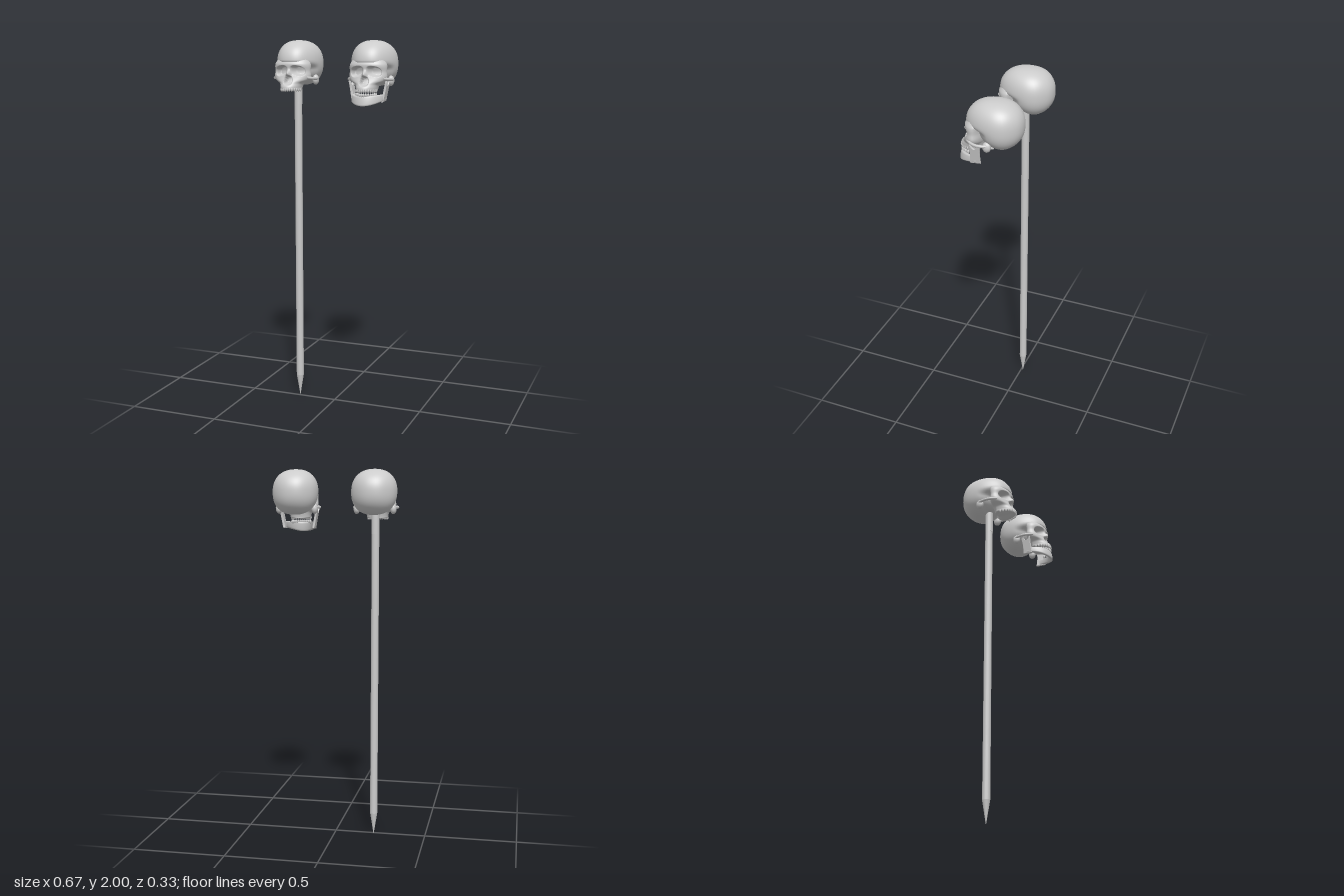
import * as THREE from 'three';

const bone = new THREE.MeshStandardMaterial({ color: 0xcccccc, side: THREE.DoubleSide });
const { smoothstep, lerp } = THREE.MathUtils;

function add(group, geometry, name, x = 0, y = 0, z = 0) {
  const mesh = new THREE.Mesh(geometry, bone);
  mesh.name = name;
  mesh.position.set(x, y, z);
  group.add(mesh);
  return mesh;
}

// Skin a list of closed rings; each ring is an array of Vector3
function loft(rings) {
  const n = rings[0].length, index = [];
  for (let i = 0; i < rings.length - 1; i++) {
    for (let j = 0; j < n; j++) {
      const k = (j + 1) % n, a = i * n, b = a + n;
      index.push(a + j, b + j, b + k, a + j, b + k, a + k);
    }
  }
  const g = new THREE.BufferGeometry().setFromPoints(rings.flat());
  g.setIndex(index);
  g.computeVertexNormals();
  return g;
}

// Braincase: a squared-off sphere, narrowed at the temples and cut back behind the face
function craniumGeometry() {
  const g = new THREE.SphereGeometry(1, 56, 40);
  const p = g.attributes.position, e = 2.3;
  for (let i = 0; i < p.count; i++) {
    let x = p.getX(i), y = p.getY(i), z = p.getZ(i);
    const r = (Math.abs(x) ** e + Math.abs(y) ** e + Math.abs(z) ** e) ** (-1 / e);
    x *= r; y *= r; z *= r;
    const front = smoothstep(z, -0.35, 1), low = smoothstep(-y, -0.1, 0.3);
    const px = x * 0.123 * (1 - 0.17 * front - 0.12 * front * low) * (1 - 0.1 * smoothstep(-z, 0.5, 1));
    const py = 1.878 + y * (y > 0 ? 0.122 : 0.124 - 0.025 * smoothstep(z, -0.5, 0.3));
    const pz = -0.022 + z * (z > 0 ? 0.145 * (1 - 0.45 * low) : 0.144);
    p.setXYZ(i, px, py, pz);
  }
  g.computeVertexNormals();
  // keep the sphere's seam (first and last column) smooth
  const nrm = g.attributes.normal, cols = 57;
  for (let r = 0; r < 41; r++) {
    const a = r * cols, b = a + 56;
    const v = new THREE.Vector3().fromBufferAttribute(nrm, a)
      .add(new THREE.Vector3().fromBufferAttribute(nrm, b)).normalize();
    nrm.setXYZ(a, v.x, v.y, v.z);
    nrm.setXYZ(b, v.x, v.y, v.z);
  }
  return g;
}

// 1 inside an oval hollow, falling to 0 at its rim
function hollow(x, y, cx, cy, rx, ry) {
  const d = (Math.abs((x - cx) / rx) ** 2.6 + Math.abs((y - cy) / ry) ** 2.6) ** (1 / 2.6);
  return 1 - smoothstep(d, 0.72, 1.05);
}

// Face: stacked rings of [y, half width, front z, side z], with sockets pressed in
function faceGeometry() {
  const rows = [
    [1.905, 0.082, 0.108, 0.06], [1.878, 0.099, 0.125, 0.06], [1.865, 0.101, 0.125, 0.062],
    [1.84, 0.1, 0.117, 0.064], [1.812, 0.102, 0.124, 0.064], [1.793, 0.092, 0.133, 0.066],
    [1.775, 0.066, 0.146, 0.07], [1.757, 0.058, 0.158, 0.074], [1.745, 0.055, 0.158, 0.076],
    [1.742, 0.042, 0.143, 0.076], [1.752, 0.01, 0.1, 0.08], [1.752, 0, 0.08, 0.08],
  ];
  const outline = new THREE.CatmullRomCurve3(rows.map(r => new THREE.Vector3(r[1], r[0], r[2])));
  const sides = new THREE.CatmullRomCurve3(rows.map(r => new THREE.Vector3(r[3], r[0], 0)));
  const rings = [], steps = 88, around = 120;
  for (let i = 0; i <= steps; i++) {
    const o = outline.getPoint(i / steps), b = sides.getPoint(i / steps).x, ring = [];
    const outside = i / steps < 0.78;
    for (let j = 0; j < around; j++) {
      const a = -Math.PI + (j / around) * 2 * Math.PI, c = Math.cos(a);
      const x = o.x * Math.sin(a), y = o.y;
      let z = b + c * (c > 0 ? o.z - b : 0.035);
      if (c > 0 && outside) {
        const eye = hollow(Math.abs(x), y + (Math.abs(x) - 0.047) * 0.18, 0.047, 1.842, 0.034, 0.026);
        const nose = hollow(x, y, 0, 1.793, 0.021 - (y - 1.793) * 0.25, 0.026);
        z += 0.026 * Math.exp(-((x / 0.011) ** 2) - ((y - 1.828) / 0.019) ** 2);
        z -= Math.max(0.045 * eye, 0.036 * nose);
      }
      ring.push(new THREE.Vector3(x, y, z));
    }
    rings.push(ring);
  }
  return loft(rings);
}

// Row of teeth set around a half-ellipse arch
function addTeeth(group, name, y, halfWidth, depth, height, count) {
  const row = new THREE.Group();
  row.name = name;
  for (let i = 0; i < count; i++) {
    const a = lerp(-1.4, 1.4, i / (count - 1));
    const tooth = add(row, new THREE.SphereGeometry(1, 8, 6), 'tooth',
      halfWidth * Math.sin(a), y, 0.076 + depth * Math.cos(a));
    tooth.scale.set(0.0062, height, 0.006);
    tooth.rotation.y = a;
  }
  group.add(row);
}

// Lower jaw: rounded bar bent round the chin, plus an upright branch on each side
function addJaw(group) {
  const jaw = new THREE.Group();
  jaw.name = 'lowerJaw';
  const rings = [];
  for (let i = 0; i <= 40; i++) {
    const a = lerp(-Math.PI / 2, Math.PI / 2, i / 40), s = Math.sin(a), c = Math.cos(a), ring = [];
    const bottom = 1.667 + 0.025 * s * s, top = 1.717 + 0.008 * s * s;
    for (let j = 0; j < 14; j++) {
      const phi = (j / 14) * 2 * Math.PI, u = Math.sin(phi), out = Math.cos(phi);
      const up = Math.sign(u) * Math.sqrt(Math.abs(u));
      const off = 0.009 * Math.sign(out) * Math.sqrt(Math.abs(out)) - 0.004 * up * c;
      ring.push(new THREE.Vector3((0.081 + off) * s, lerp(bottom, top, (up + 1) / 2), 0.045 + (0.107 + off) * c));
    }
    rings.push(ring);
  }
  add(jaw, loft(rings), 'jawBody');

  const branch = new THREE.Shape();
  branch.moveTo(0.026, 1.692);
  branch.lineTo(0.078, 1.687);
  branch.lineTo(0.072, 1.735);
  branch.quadraticCurveTo(0.07, 1.77, 0.072, 1.79);
  branch.quadraticCurveTo(0.05, 1.745, 0.032, 1.788);
  branch.lineTo(0.02, 1.785);
  branch.quadraticCurveTo(0.03, 1.75, 0.026, 1.692);
  for (const side of [1, -1]) {
    const g = new THREE.ExtrudeGeometry(branch, {
      depth: 0.008, bevelThickness: 0.002, bevelSize: 0.002, bevelSegments: 2, curveSegments: 8,
    });
    g.translate(0, 0, -0.004).rotateY(-Math.PI / 2);
    // lean the branch outward toward its hinge
    const p = g.attributes.position;
    for (let i = 0; i < p.count; i++) p.setX(i, p.getX(i) + side * (0.081 + (p.getY(i) - 1.69) * 0.19));
    g.computeVertexNormals();
    add(jaw, g, side > 0 ? 'leftJawBranch' : 'rightJawBranch');
  }
  addTeeth(jaw, 'lowerTeeth', 1.722, 0.052, 0.077, 0.011, 14);
  group.add(jaw);
}

function createSkull(name, withJaw) {
  const skull = new THREE.Group();
  skull.name = name;
  add(skull, craniumGeometry(), 'cranium');
  add(skull, faceGeometry(), 'face');
  addTeeth(skull, 'upperTeeth', 1.744, 0.053, 0.08, 0.011, 14);
  for (const side of [1, -1]) {
    // cheek arch from the eye corner to the ear
    const path = new THREE.CatmullRomCurve3([
      [0.088, 1.805, 0.088], [0.107, 1.802, 0.062], [0.116, 1.8, 0.03], [0.113, 1.8, 0], [0.1, 1.803, -0.03],
    ].map(([x, y, z]) => new THREE.Vector3(side * x, y, z)));
    add(skull, new THREE.TubeGeometry(path, 24, 0.0075, 8), 'cheekArch');
    // bony knob behind the ear
    const knob = add(skull, new THREE.SphereGeometry(1, 16, 12), 'earKnob', side * 0.098, 1.792, -0.015);
    knob.scale.set(0.017, 0.027, 0.022);
  }
  if (withJaw) addJaw(skull);
  return skull;
}

export function createModel() {
  const model = new THREE.Group();
  model.name = 'skulls';

  const mounted = createSkull('mountedSkull', false);
  mounted.position.x = -0.212;
  const loose = createSkull('jawedSkull', true);
  loose.position.x = 0.212;
  model.add(mounted, loose);

  // Sharpened pole under the first skull
  const pole = new THREE.Group();
  pole.name = 'stake';
  pole.position.set(-0.215, 0, -0.011);
  add(pole, new THREE.CylinderGeometry(0.0205, 0.0205, 1.55, 16), 'shaft', 0, 0.895);
  add(pole, new THREE.CylinderGeometry(0.0205, 0.001, 0.12, 16), 'point', 0, 0.06);
  add(pole, new THREE.CylinderGeometry(0.0215, 0.0215, 0.14, 16), 'shaftTop', 0.001, 1.73);
  model.add(pole);
  return model;
}
